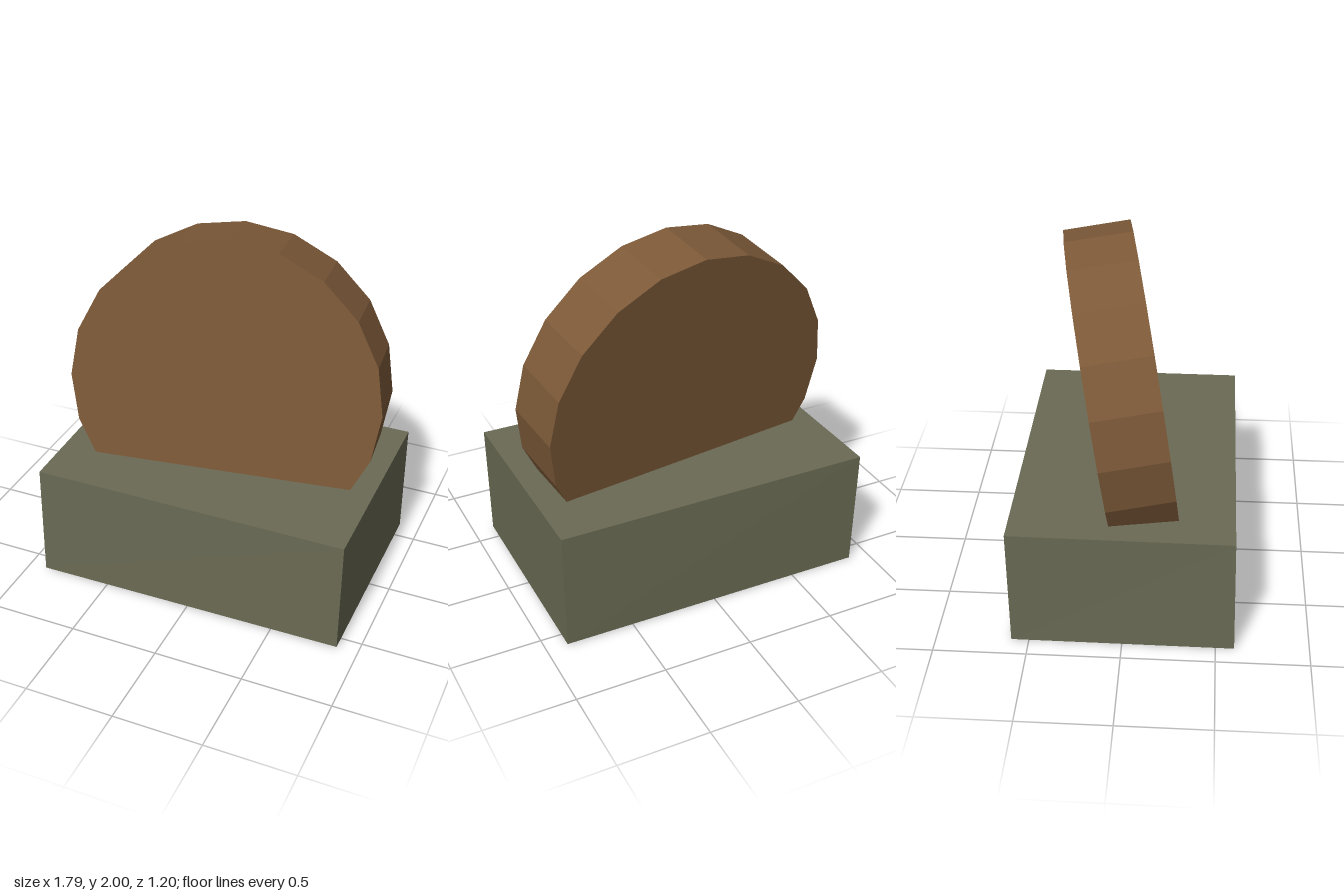
import * as THREE from 'three';

// Box whose eight corners are nudged to look roughly hewn
function roughBox(w, h, d, nudges) {
  const geo = new THREE.BoxGeometry(w, h, d);
  const p = geo.attributes.position;
  for (let i = 0; i < p.count; i++) {
    const x = p.getX(i), y = p.getY(i), z = p.getZ(i);
    const corner = (x > 0 ? 1 : 0) + (y > 0 ? 2 : 0) + (z > 0 ? 4 : 0);
    const [dx, dy, dz] = nudges[corner];
    p.setXYZ(i, x + dx, y + dy, z + dz);
  }
  geo.computeVertexNormals();
  return geo;
}

export function createModel() {
  const model = new THREE.Group();
  model.name = 'discOnPlinth';

  const stone = new THREE.MeshStandardMaterial({ name: 'mossy stone', color: 0x6a6a54, flatShading: true });
  const wood = new THREE.MeshStandardMaterial({ name: 'brown wood', color: 0x7c5938, flatShading: true });

  // Plinth: corners ordered by x, then y, then z
  const plinth = new THREE.Mesh(roughBox(1.79, 0.68, 1.19, [
    [0.01, 0, 0], [-0.01, 0.01, -0.005],
    [-0.005, 0.01, -0.005], [-0.005, 0.005, 0],
    [0, 0.005, 0.005], [-0.01, 0.015, -0.005],
    [0.005, -0.005, -0.01], [0, 0, -0.005],
  ]), stone);
  plinth.name = 'plinth';
  plinth.position.y = 0.34;
  model.add(plinth);

  // Thick twenty-sided disc, sunk into the plinth, leaning back and turned
  const discGeo = new THREE.CylinderGeometry(0.873, 0.873, 0.367, 20);
  discGeo.rotateX(Math.PI / 2);
  const disc = new THREE.Mesh(discGeo, wood);
  disc.name = 'disc';
  disc.position.set(-0.002, 1.11, -0.055);
  disc.rotation.set(-0.137, 0.138, 0, 'YXZ');
  model.add(disc);

  return model;
}
